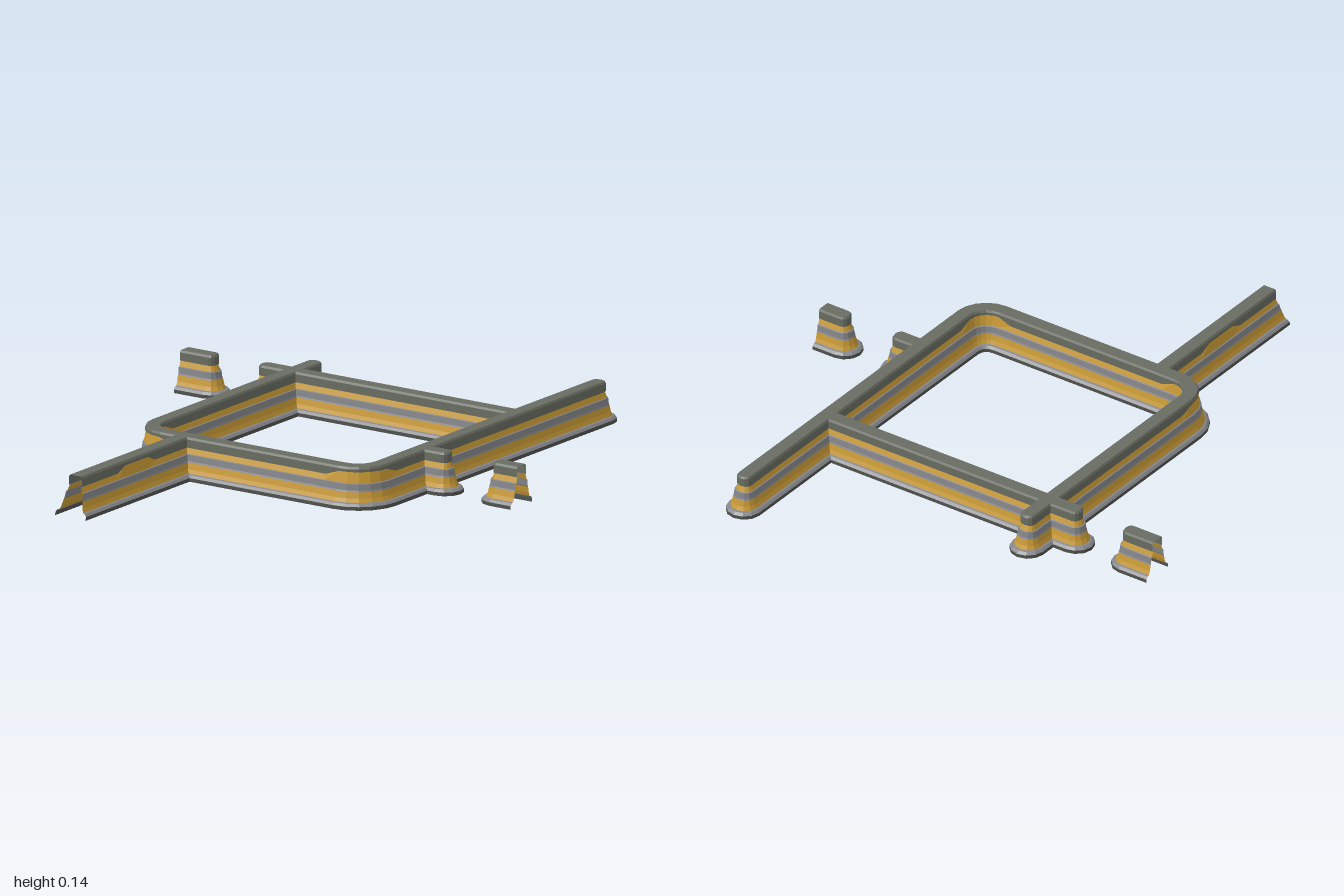
import * as THREE from 'three';

const HEIGHT = 0.135;

// Cross-section bands from foot to crown: [half width, height, lift on raised stretches]
const BANDS = [
  { name: 'footing', color: 0x50524f, rows: [[0.06, 0], [0.06, 0.012]] },
  { name: 'footingLedge', color: 0x85868a, rows: [[0.06, 0.012], [0.053, 0.02], [0.046, 0.022]] },
  { name: 'lowerPanel', color: 0xc99a35, rows: [[0.046, 0.022], [0.041, 0.035], [0.037, 0.055]] },
  { name: 'middleRail', color: 0x85868a, rows: [[0.037, 0.055], [0.035, 0.06], [0.033, 0.08], [0.029, 0.082]] },
  { name: 'upperPanel', color: 0xc99a35, rows: [[0.029, 0.082], [0.023, 0.1, 0.018]] },
  { name: 'coping', color: 0x686c61, rows: [[0.023, 0.1, 0.018], [0.026, 0.101, 0.018], [0.026, 0.128], [0.022, HEIGHT], [0, HEIGHT]] },
];

const materials = new Map();
function material(color) {
  if (!materials.has(color)) {
    materials.set(color, new THREE.MeshStandardMaterial({ color, flatShading: true, side: THREE.DoubleSide }));
  }
  return materials.get(color);
}

// Stations around a wall outline: up the left side, round the end, back down the right
function outline(path, openStart) {
  const dirs = path.slice(1).map((p, i) =>
    new THREE.Vector2(p[0] - path[i][0], p[1] - path[i][1]).normalize());
  const joints = path.map((p, i) => {
    const a = dirs[Math.max(i - 1, 0)], b = dirs[Math.min(i, dirs.length - 1)];
    const k = 1 / (1 + a.dot(b));
    return { x: p[0], z: p[1], lift: p[2] || 0, nx: (a.y + b.y) * k, nz: -(a.x + b.x) * k };
  });
  const side = (j, s) => ({ x: j.x, z: j.z, lift: j.lift, sx: j.nx * s, sz: j.nz * s, fx: 0, fz: 0 });
  const round = (j, d, s) => {
    const list = [];
    for (let i = 1; i < 6; i++) {
      const a = (i * Math.PI) / 6, c = Math.cos(a) * s, f = Math.sin(a) * s;
      list.push({ x: j.x, z: j.z, lift: 0, sx: j.nx * c, sz: j.nz * c, fx: d.x * f, fz: d.y * f });
    }
    return list;
  };
  const last = joints[joints.length - 1];
  const stations = [
    ...joints.map((j) => side(j, 1)),
    ...round(last, dirs[dirs.length - 1], 1),
    ...joints.slice().reverse().map((j) => side(j, -1)),
  ];
  if (!openStart) stations.push(...round(joints[0], dirs[0], -1), stations[0]);
  return { stations, startDir: dirs[0] };
}

// Hollow wall: every band is skinned along the outline
function wall(name, path, { openStart = false, slant = 0 } = {}) {
  const group = new THREE.Group();
  group.name = name;
  const { stations, startDir } = outline(path, openStart);
  const n = stations.length;
  for (const band of BANDS) {
    const pos = [], index = [];
    band.rows.forEach(([w, y, rise = 0], r) => {
      const forward = Math.max(0, 1.2 * w - 0.012);
      stations.forEach((s, i) => {
        const cut = openStart && (i === 0 || i === n - 1) ? slant * Math.min(1, y / 0.1) : 0;
        pos.push(
          s.x + s.sx * w + s.fx * forward + startDir.x * cut,
          y + rise * s.lift,
          s.z + s.sz * w + s.fz * forward + startDir.y * cut);
        if (r > 0 && i > 0) {
          const d = r * n + i, c = d - 1, b = d - n, a = b - 1;
          index.push(a, c, b, b, c, d);
        }
      });
    });
    const geo = new THREE.BufferGeometry();
    geo.setAttribute('position', new THREE.Float32BufferAttribute(pos, 3));
    geo.setIndex(index);
    geo.computeVertexNormals();
    const mesh = new THREE.Mesh(geo, material(band.color));
    mesh.name = band.name;
    group.add(mesh);
  }
  return group;
}

// Raised-trim corner arc in plan
function corner(cx, cz, radius, from, to) {
  const pts = [];
  for (let i = 0; i <= 5; i++) {
    const a = from + ((to - from) * i) / 5;
    pts.push([cx + Math.cos(a) * radius, cz + Math.sin(a) * radius, 1]);
  }
  return pts;
}

export function createModel() {
  const model = new THREE.Group();
  model.name = 'wallNetwork';
  const R = 0.09, XR = 0.46, XL = -0.42, ZF = 0.36, ZB = -0.485;

  // Long right wall, front wall and left wall in one run with two rounded corners
  model.add(wall('mainWall', [
    [XR, -0.94], [XR, 0.22],
    ...corner(XR - R, ZF - R, R, 0, Math.PI / 2),
    [0.32, ZF], [-0.28, ZF],
    ...corner(XL + R, ZF - R, R, Math.PI / 2, Math.PI),
    [XL, 0.22], [XL, -0.6],
  ]));

  // Back wall crossing the left wall
  model.add(wall('backWall', [[-0.53, ZB], [0.45, ZB]]));

  // Front arm with one raised trim stretch and an open, slanted end
  model.add(wall('frontArm', [
    [-0.25, 1], [-0.25, 0.77], [-0.25, 0.73, 1], [-0.25, 0.6, 1], [-0.25, 0.56], [-0.25, 0.37],
  ], { openStart: true, slant: 0.03 }));

  // Side stub and the two detached wall pieces across the gaps
  model.add(wall('sideStub', [[0.47, 0.04], [0.55, 0.04]]));
  model.add(wall('rightDetachedWall', [[0.85, 0.04], [0.765, 0.04]], { openStart: true }));
  model.add(wall('leftDetachedWall', [[-0.85, ZB], [-0.74, ZB]], { openStart: true }));

  return model;
}
